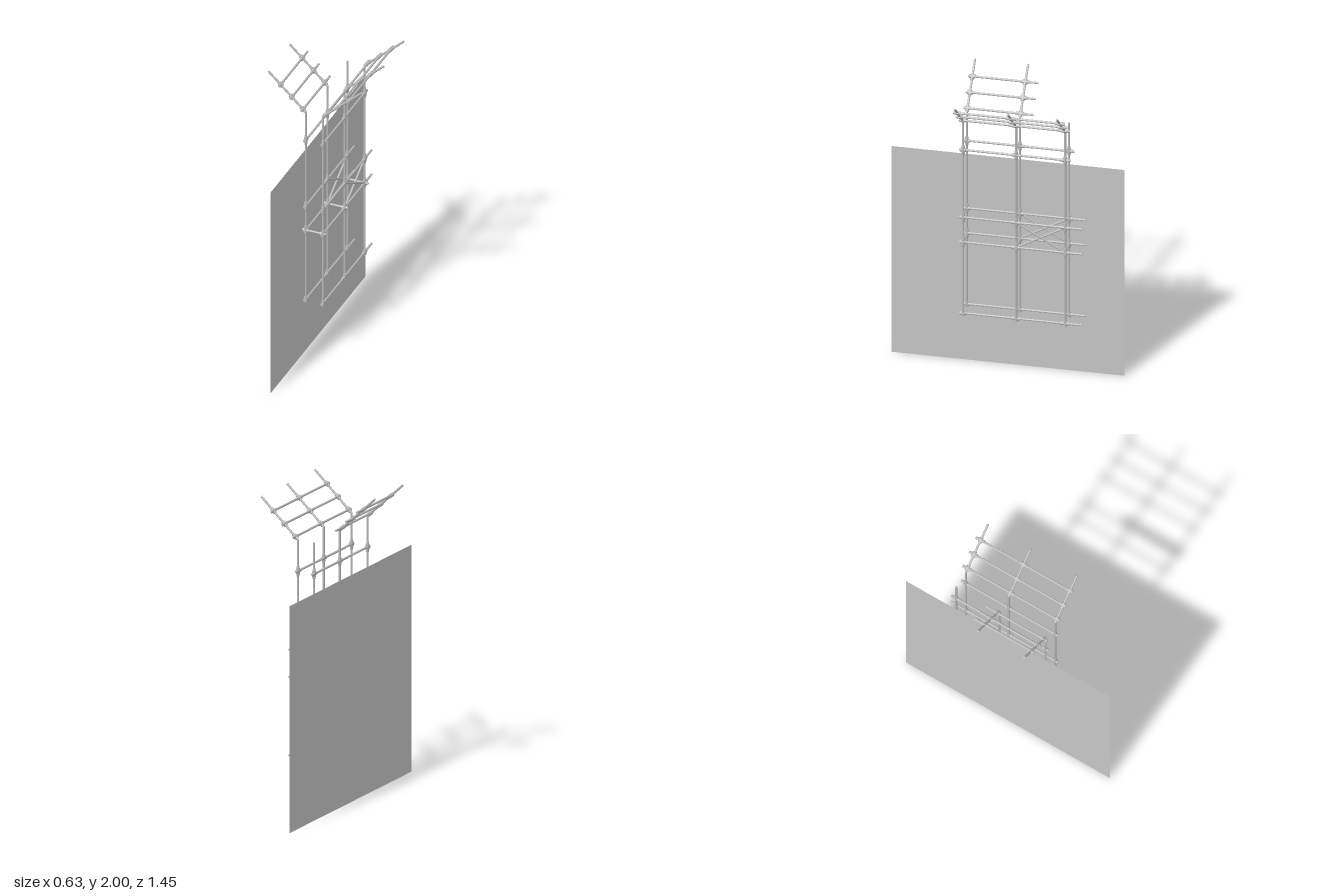
import * as THREE from 'three';

const R = 0.007;
const poleMat = new THREE.MeshStandardMaterial({ color: 0xbababa });
poleMat.name = 'pole grey';
const panelMat = new THREE.MeshStandardMaterial({ color: 0xc6c6c6, side: THREE.DoubleSide });
panelMat.name = 'panel grey';

const UP = new THREE.Vector3(0, 1, 0);
// swollen sleeve around a crossing
const knotGeo = new THREE.LatheGeometry(
  [[R, -0.036], [0.0115, -0.016], [0.0115, 0.016], [R, 0.036]].map(([r, y]) => new THREE.Vector2(r, y)), 8);
const endKnotGeo = new THREE.CylinderGeometry(0.0115, 0.0115, 0.036, 8);

export function createModel() {
  const model = new THREE.Group();

  // straight round pole between two points
  function pole(name, a, b, r = R) {
    const p = new THREE.Vector3(...a), q = new THREE.Vector3(...b);
    const d = q.clone().sub(p);
    const m = new THREE.Mesh(new THREE.CylinderGeometry(r, r, d.length(), 8), poleMat);
    m.name = name;
    m.position.copy(p).add(q).multiplyScalar(0.5);
    m.quaternion.setFromUnitVectors(UP, d.normalize());
    model.add(m);
  }

  function knot(at, dir, geo = knotGeo) {
    const m = new THREE.Mesh(geo, poleMat);
    m.name = 'jointSleeve';
    m.position.set(...at);
    m.quaternion.setFromUnitVectors(UP, new THREE.Vector3(...dir).normalize());
    model.add(m);
  }

  const postZ = [0.25, -0.08, -0.385];
  const bottom = 0.39, bend = 1.76;
  // height and back end of each long rail
  const rails = [[0.41, -0.49], [0.91, -0.49], [1.085, -0.49], [1.56, -0.41]];

  const sides = [
    { name: 'left', x: 0.052, s: 1, wingPosts: 3, wingBack: -0.41 },
    { name: 'right', x: -0.062, s: -1, wingPosts: 2, wingBack: -0.16 },
  ];
  for (const { name, x, s, wingPosts, wingBack } of sides) {
    const tip = [s * 0.312, 1.995];
    const wingDir = [tip[0] - x, tip[1] - bend, 0];

    // upright posts, most of them continued by an outward arm
    postZ.forEach((z, i) => {
      pole(name + 'Post', [x, bottom, z], [x, bend, z]);
      if (i < wingPosts) {
        pole(name + 'Arm', [x, bend, z], [...tip, z]);
        const elbow = new THREE.Mesh(new THREE.SphereGeometry(R, 8, 6), poleMat);
        elbow.name = name + 'Elbow';
        elbow.position.set(x, bend, z);
        model.add(elbow);
      }
    });

    // long rails on the uprights
    for (const [y, back] of rails) {
      pole(name + 'Rail', [x, y, 0.275], [x, y, back]);
      for (const z of postZ) {
        knot([x, y, z], [0, 0, 1], z > 0.2 ? endKnotGeo : knotGeo);
        knot([x, y, z], UP.toArray(), y < 0.5 ? endKnotGeo : knotGeo);
      }
    }

    // rails across the sloping arms
    for (const t of [0.075, 0.37, 0.67]) {
      const rx = x + wingDir[0] * t, ry = bend + wingDir[1] * t;
      pole(name + 'WingRail', [rx, ry, 0.275], [rx, ry, wingBack]);
      for (const z of postZ.slice(0, wingPosts)) {
        knot([rx, ry, z], [0, 0, 1], z > 0.2 ? endKnotGeo : knotGeo);
        knot([rx, ry, z], wingDir, endKnotGeo);
      }
    }

    // diagonal cross brace in the rear bay
    const [, z1, z2] = postZ;
    pole(name + 'Brace', [x, 0.91, z1], [x, 1.085, z2]);
    pole(name + 'Brace', [x, 1.085, z1], [x, 0.91, z2]);
  }

  // short ties joining the two frames
  for (const z of postZ) {
    pole('crossTie', [-0.085, 0.91, z], [0.077, 0.91, z]);
    for (const { x } of sides) knot([x, 0.91, z], [1, 0, 0], endKnotGeo);
  }

  // flat wall panel beside the frame
  const panel = new THREE.Mesh(new THREE.PlaneGeometry(1.45, 1.45), panelMat);
  panel.name = 'wallPanel';
  panel.rotation.y = Math.PI / 2;
  panel.position.set(-0.09, 0.725, 0);
  model.add(panel);

  return model;
}
